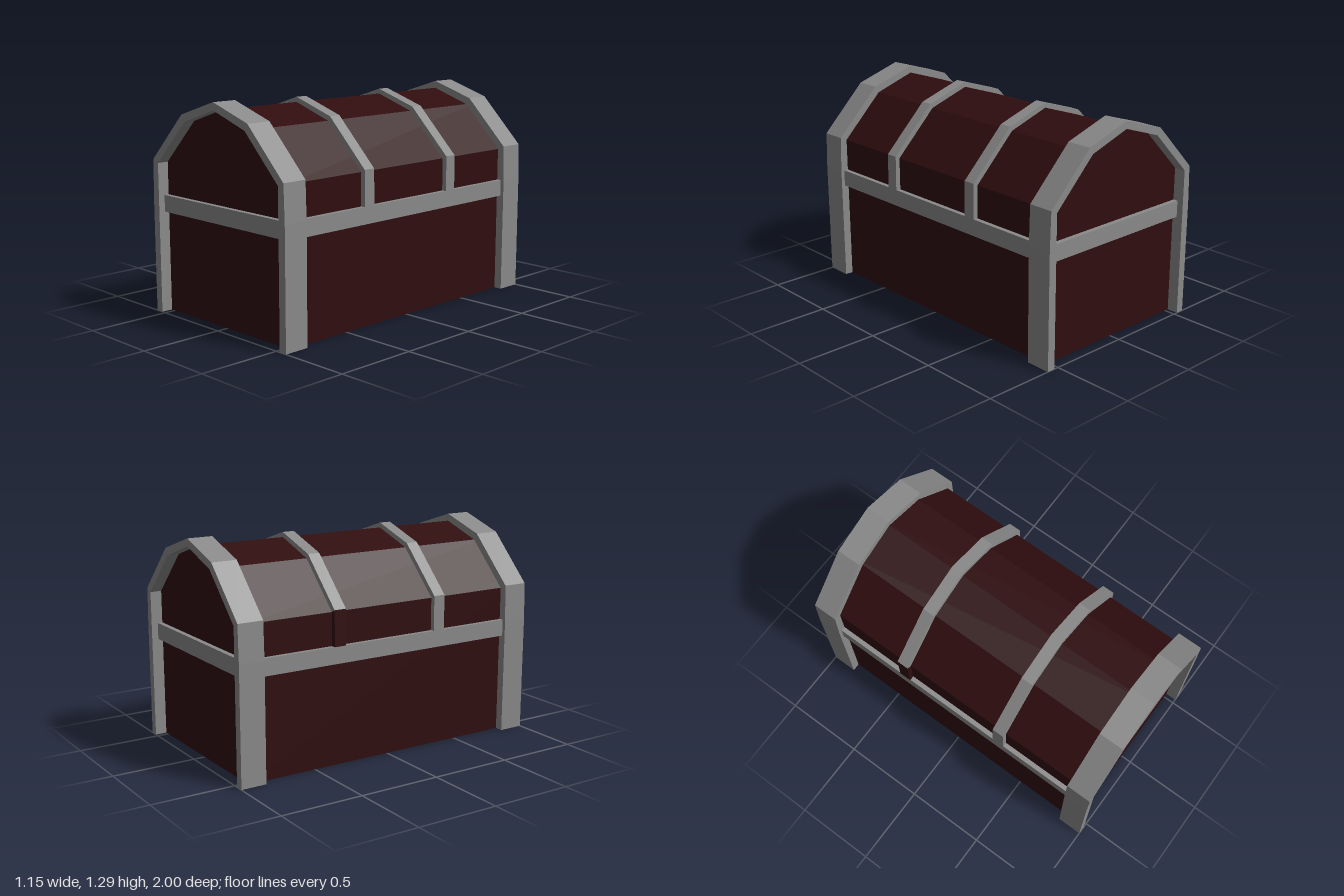
import * as THREE from 'three';

const iron = new THREE.MeshStandardMaterial({ color: 0x8a8a8b, flatShading: true });
iron.name = 'iron grey';
const wood = new THREE.MeshStandardMaterial({ color: 0x300d0f, flatShading: true });
wood.name = 'dark red wood';

// Left-to-right arch outline from the right half, listed bottom to crown
function mirror(half) {
  const other = half.slice(0, -1).reverse().map(([x, y]) => [-x, y]);
  return [...half, ...other];
}

// Extrudes an x-y outline between two z values
function slab(points, z0, z1) {
  const shape = new THREE.Shape(points.map(([x, y]) => new THREE.Vector2(x, y)));
  const geo = new THREE.ExtrudeGeometry(shape, { depth: z1 - z0, bevelEnabled: false });
  return geo.translate(0, 0, z0);
}

// Strap between an outer and an inner arch outline
const strap = (outer, inner, z0, z1) => slab([...outer, ...[...inner].reverse()], z0, z1);

export function createModel() {
  const chest = new THREE.Group();
  chest.name = 'chest';
  const add = (name, geo, material) => {
    const mesh = new THREE.Mesh(geo, material);
    mesh.name = name;
    chest.add(mesh);
  };

  const lid = [[0.527, 0.9], [0.263, 1.163], [0, 1.25]];
  const bodyEnd = 0.93;

  // Wooden box with its faceted lid
  add('body', slab(mirror([[0.527, 0], ...lid]), -bodyEnd, bodyEnd), wood);

  // Wide frames with corner posts at both ends
  const frameOuter = mirror([[0.577, 0], [0.577, 0.7], [0.57, 0.92], [0.288, 1.203], [0, 1.295]]);
  const frameInner = mirror([[0.527, 0], ...lid]);
  add('frontFrame', strap(frameOuter, frameInner, 0.845, 1), iron);
  add('backFrame', strap(frameOuter, frameInner, -1, -0.845), iron);

  // Narrow lid bands; the lower left end of the back one is wood coloured
  const outer = mirror([[0.558, 0.705], [0.555, 0.915], [0.279, 1.19], [0, 1.28]]);
  const inner = mirror([[0.527, 0.705], ...lid]);
  add('frontLidBand', strap(outer, inner, 0.31, 0.385), iron);
  add('backLidBand', strap(outer.slice(0, -1), inner.slice(0, -1), -0.385, -0.31), iron);
  add('backLidBandEnd', strap(outer.slice(-2), inner.slice(-2), -0.385, -0.31), wood);

  // Rails around the rim
  for (const s of [1, -1]) {
    const side = new THREE.BoxGeometry(0.028, 0.1, 1.69).translate(s * 0.541, 0.655, 0);
    add(s > 0 ? 'leftRail' : 'rightRail', side, iron);
    const end = new THREE.BoxGeometry(1.054, 0.1, 0.03).translate(0, 0.655, s * 0.945);
    add(s > 0 ? 'frontRail' : 'backRail', end, iron);
  }
  return chest;
}
